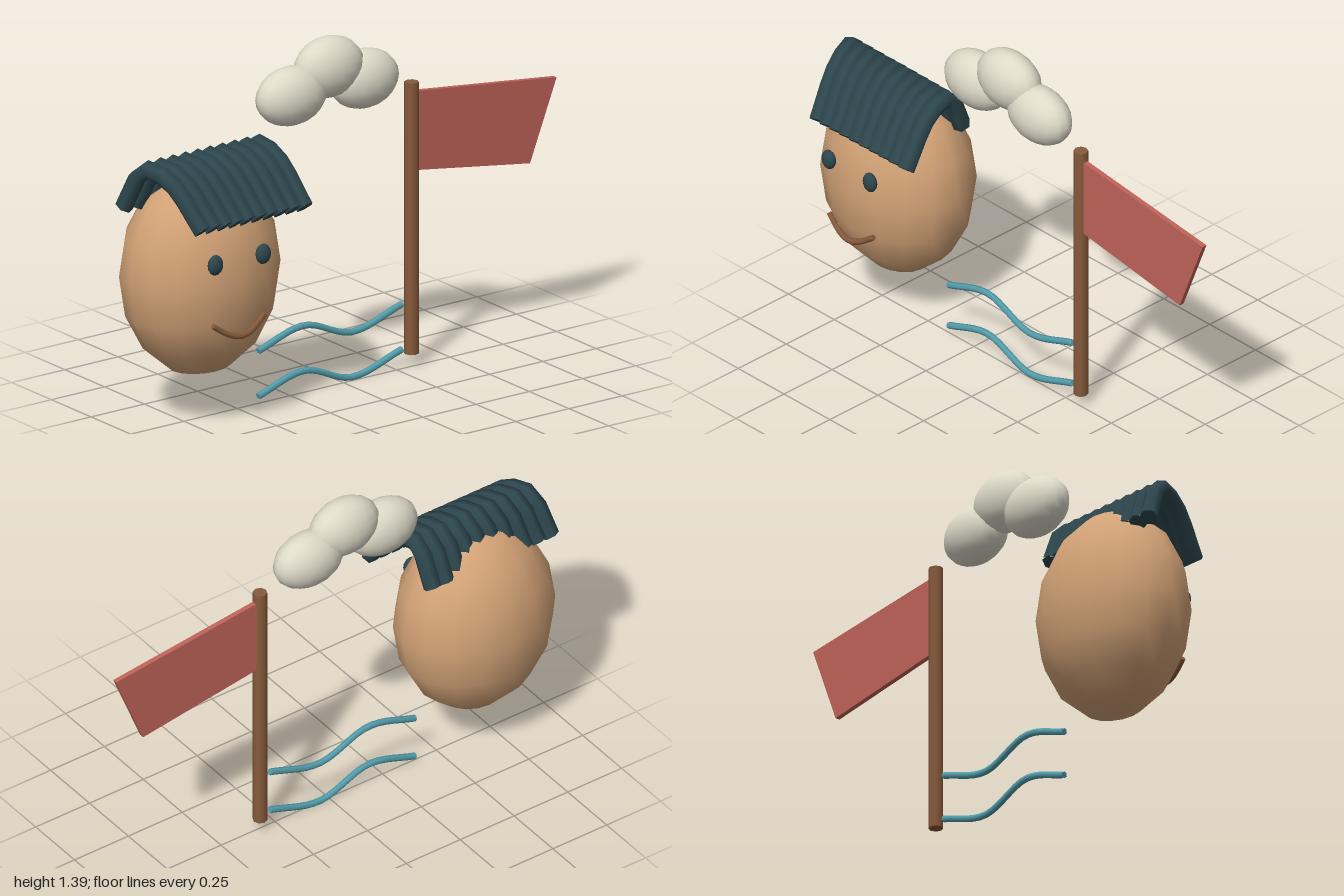
import * as THREE from 'three';

export function createModel() {
  const root = new THREE.Group();
  const Z = -0.008; // common depth plane
  const paint = (name, color) => {
    const m = new THREE.MeshStandardMaterial({ color });
    m.name = name;
    return m;
  };
  const skin = paint('skin', 0xd2a276);
  const dark = paint('darkTeal', 0x2d474e);
  const wood = paint('wood', 0x875b3b);
  const cloudWhite = paint('cloudWhite', 0xdedac9);
  const water = paint('waterBlue', 0x549fae);
  const cloth = paint('redCloth', 0xbf6358);

  const add = (name, geometry, material, parent = root) => {
    const mesh = new THREE.Mesh(geometry, material);
    mesh.name = name;
    parent.add(mesh);
    return mesh;
  };
  const group = (name) => {
    const g = new THREE.Group();
    g.name = name;
    root.add(g);
    return g;
  };
  const ellipsoid = (name, pos, size, material, w, h, parent) => {
    const mesh = add(name, new THREE.SphereGeometry(1, w, h), material, parent);
    mesh.position.set(...pos);
    mesh.scale.set(...size);
  };

  // Tube along a smooth path, closed with flat end discs
  const rod = (name, points, radius, segments, material, parent) => {
    const curve = new THREE.CatmullRomCurve3(points.map((p) => new THREE.Vector3(...p)));
    const g = new THREE.Group();
    g.name = name;
    parent.add(g);
    add('body', new THREE.TubeGeometry(curve, segments, radius, 6), material, g);
    for (const t of [0, 1]) {
      const cap = add('end', new THREE.CircleGeometry(radius, 6), material, g);
      const out = curve.getTangentAt(t).multiplyScalar(t ? 1 : -1);
      cap.position.copy(curve.getPointAt(t));
      cap.quaternion.setFromUnitVectors(new THREE.Vector3(0, 0, 1), out);
    }
  };

  // Head and face
  ellipsoid('head', [-0.67, 0.595, Z], [0.33, 0.415, 0.262], skin, 16, 8);
  ellipsoid('rightEye', [-0.785, 0.7, 0.245], [0.033, 0.04, 0.022], dark, 12, 8);
  ellipsoid('leftEye', [-0.56, 0.7, 0.245], [0.033, 0.04, 0.022], dark, 12, 8);
  rod('mouth', [[-0.79, 0.455, 0.236], [-0.72, 0.41, 0.25], [-0.67, 0.398, 0.254],
    [-0.62, 0.41, 0.25], [-0.55, 0.455, 0.236]], 0.012, 10, wood, root);

  // Hair: a row of strands draped from front to back
  const hair = group('hair');
  const strands = 10;
  for (let i = 0; i < strands; i++) {
    const t = i / (strands - 1);
    const x = (a, b) => THREE.MathUtils.lerp(a, b, t);
    rod('strand', [
      [x(-0.845, -0.365), 0.845, 0.245],
      [x(-0.89, -0.39), 1.01, 0.105],
      [x(-0.925, -0.405), 1.038, -0.01],
      [x(-0.962, -0.415), 0.877, -0.094],
    ], 0.036, 8, dark, hair);
  }

  // Cloud puffs
  const cloud = group('cloud');
  for (const [x, y, rx, ry] of [
    [-0.24, 1.195, 0.155, 0.116], [-0.065, 1.275, 0.152, 0.12], [0.1, 1.195, 0.152, 0.116],
  ]) ellipsoid('puff', [x, y, Z], [rx, ry, 0.092], cloudWhite, 16, 12, cloud);

  // Waves
  const waves = group('waves');
  for (const y of [0.03, 0.21]) {
    rod('wave', [[-0.395, y, Z], [-0.18, y + 0.058, Z], [0.045, y - 0.014, Z],
      [0.28, y + 0.049, Z]], 0.013, 20, water, waves);
  }

  // Flagpole and flag
  const pole = add('flagpole', new THREE.CylinderGeometry(0.028, 0.028, 1.08, 8), wood);
  pole.position.set(0.325, 0.595, Z);
  const outline = new THREE.Shape([[0.33, 1.098], [0.33, 0.784], [0.875, 0.7], [1, 1.017]]
    .map((p) => new THREE.Vector2(...p)));
  const flag = add('flag', new THREE.ExtrudeGeometry(outline, { depth: 0.02, bevelEnabled: false }), cloth);
  flag.position.z = Z - 0.01;

  return root;
}
